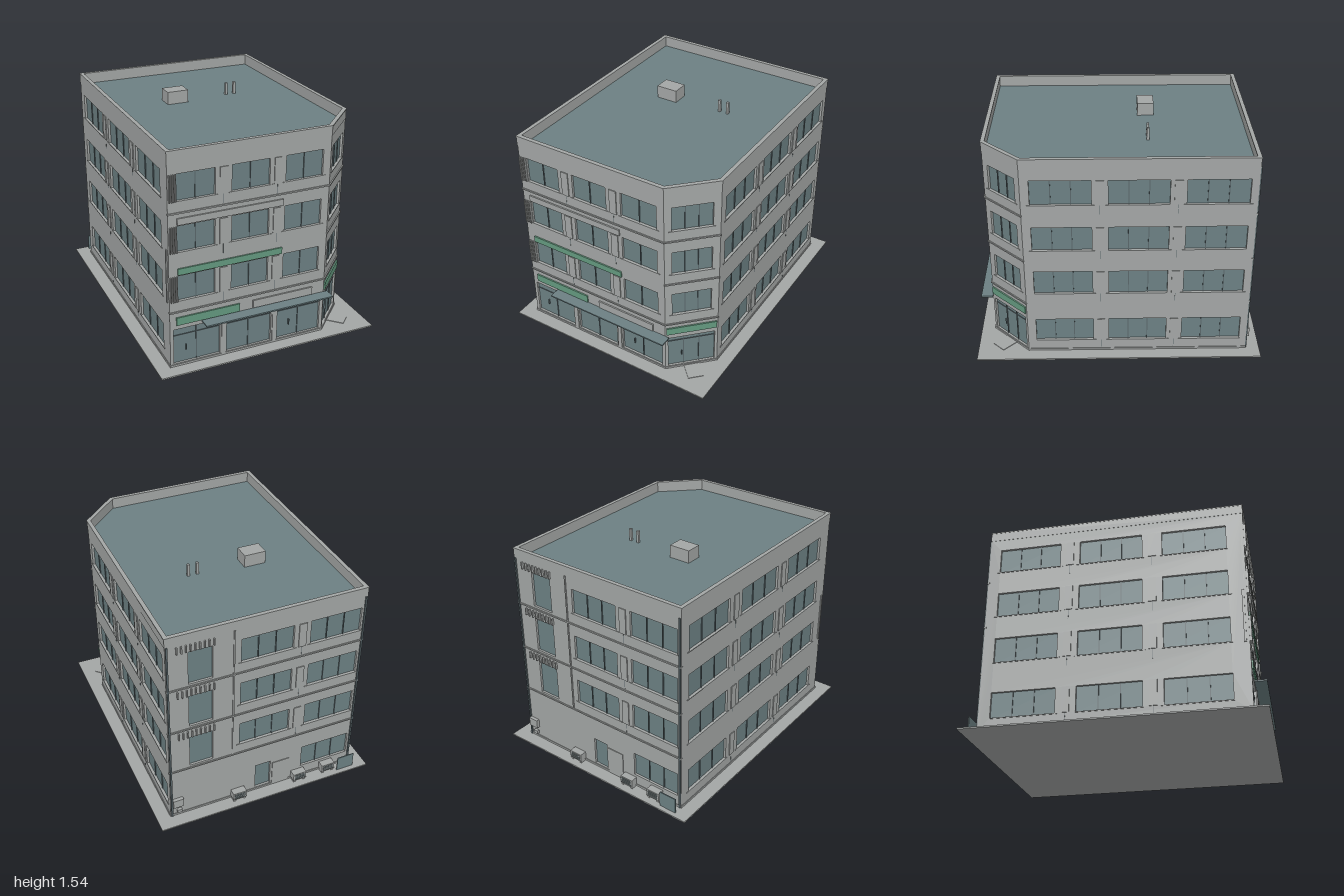
import * as THREE from 'three';

const mat = (name, color) => Object.assign(new THREE.MeshStandardMaterial({ color }), { name });

export function createModel() {
  const concrete = mat('concrete grey', 0xa3a6a5);
  const glass = mat('slate glass', 0x6c8083);
  const green = mat('sign green', 0x64997f);
  const dark = mat('frame grey', 0x59666a);
  const model = new THREE.Group();
  model.name = 'cornerBuilding';

  // Box given by its limits on each axis
  function box(parent, m, name, x0, x1, y0, y1, z0, z1) {
    const mesh = new THREE.Mesh(new THREE.BoxGeometry(x1 - x0, y1 - y0, z1 - z0), m);
    mesh.position.set((x0 + x1) / 2, (y0 + y1) / 2, (z0 + z1) / 2);
    mesh.name = name;
    parent.add(mesh);
    return mesh;
  }

  // Building outline with one cut corner, moved inward by d
  const outline = d => [
    [-0.7 + d, 0.9 - d], [0.44 - 0.414 * d, 0.9 - d], [0.7 - d, 0.64 - 0.414 * d],
    [0.7 - d, -0.9 + d], [-0.7 + d, -0.9 + d]
  ].map(([x, z]) => new THREE.Vector2(x, -z));

  // Horizontal slab or ring following the outline
  function slab(name, m, d, y0, y1, hole) {
    const shape = new THREE.Shape(outline(d));
    if (hole !== undefined) shape.holes.push(new THREE.Path(outline(hole)));
    const geo = new THREE.ExtrudeGeometry(shape, { depth: y1 - y0, bevelEnabled: false });
    geo.rotateX(-Math.PI / 2);
    const mesh = new THREE.Mesh(geo, m);
    mesh.position.y = y0;
    mesh.name = name;
    model.add(mesh);
  }

  // Wall from a to b: local x runs along it, local z points outward.
  // Each opening is [u0, u1, y0, y1, panes, transomHeight]
  function wall(name, a, b, openings) {
    const g = new THREE.Group();
    g.name = name;
    const dx = b[0] - a[0], dz = b[1] - a[1], len = Math.hypot(dx, dz);
    g.position.set(a[0], 0, a[1]);
    g.rotation.y = Math.atan2(-dz, dx);
    const shape = new THREE.Shape([[0, 0.01], [len, 0.01], [len, 1.47], [0, 1.47]]
      .map(p => new THREE.Vector2(...p)));
    for (const [u0, u1, y0, y1, panes, transom] of openings) {
      shape.holes.push(new THREE.Path([[u0, y0], [u0, y1], [u1, y1], [u1, y0]]
        .map(p => new THREE.Vector2(...p))));
      box(g, glass, 'windowGlass', u0 - 0.002, u1 + 0.002, y0 - 0.002, y1 + 0.002, -0.024, -0.016);
      for (let i = 1; i < panes; i++) {
        const u = u0 + (u1 - u0) * i / panes;
        box(g, dark, 'mullion', u - 0.003, u + 0.003, y0, y1, -0.016, -0.01);
      }
      if (transom) box(g, dark, 'transom', u0, u1, transom - 0.003, transom + 0.003, -0.016, -0.011);
    }
    const geo = new THREE.ExtrudeGeometry(shape, { depth: 0.02, bevelEnabled: false });
    geo.translate(0, 0, -0.02);
    const mesh = new THREE.Mesh(geo, concrete);
    mesh.name = name + 'Panel';
    g.add(mesh);
    model.add(g);
    return { g, len };
  }

  const floors = [0.5, 0.85, 1.2];
  const grid = (bays, levels, panes) =>
    levels.flatMap(y => bays.map(([u0, u1]) => [u0, u1, y, y + 0.18, panes]));

  // Thin sills under a row of bays and raised piers between the bays
  function trim(g, bays, levels) {
    for (const y of levels) {
      for (const [u0, u1] of bays)
        box(g, concrete, 'sill', u0 - 0.02, u1 + 0.02, y - 0.006, y, -0.01, 0.004);
      for (let i = 1; i < bays.length; i++) {
        const c = (bays[i - 1][1] + bays[i][0]) / 2;
        box(g, concrete, 'pier', c - 0.027, c + 0.027, y, y + 0.18, -0.01, 0.006);
        box(g, dark, 'wallJoint', c - 0.0015, c + 0.0015, y - 0.07, y, -0.005, 0.001);
      }
    }
  }
  const ledge = (w, y) => box(w.g, concrete, 'floorLedge', -0.003, w.len + 0.003, y - 0.005, y + 0.005, -0.01, 0.008);

  // Pavement, plinth, parapet and roof
  box(model, concrete, 'pavement', -0.8, 0.8, 0, 0.01, -1, 1);
  slab('plinth', concrete, -0.005, 0.01, 0.024);
  slab('roofDeck', glass, 0.018, 1.44, 1.455);
  slab('parapet', concrete, -0.002, 1.465, 1.527, 0.02);
  slab('parapetCoping', concrete, -0.004, 1.527, 1.535, 0.024);
  box(model, concrete, 'roofHatch', -0.28, -0.125, 1.455, 1.545, -0.26, -0.145);
  for (const x of [0.198, 0.262])
    box(model, concrete, 'roofVent', x - 0.009, x + 0.009, 1.455, 1.543, -0.212, -0.194);

  // Front wall with shopfronts
  const frontBays = [[0.06, 0.32], [0.435, 0.7], [0.815, 1.085]];
  const shops = [[0.025, 0.355], [0.405, 0.735], [0.785, 1.115]];
  const front = wall('frontWall', [-0.7, 0.9], [0.44, 0.9], [
    ...grid(frontBays, floors, 2),
    ...shops.map(([u0, u1]) => [u0, u1, 0.028, 0.29, 2, 0.235])
  ]);
  trim(front.g, frontBays, floors);
  ledge(front, 0.42);
  ledge(front, 1.12);
  for (const u of [0.38, 0.76])
    box(front.g, concrete, 'shopColumn', u - 0.014, u + 0.014, 0.024, 0.3, -0.01, 0.006);
  for (const u of [0.115, 0.88])
    box(front.g, dark, 'doorHandle', u - 0.003, u + 0.003, 0.115, 0.155, -0.016, -0.004);
  for (const y of floors)
    for (let i = 0; i < 4; i++)
      box(front.g, concrete, 'windowFin', 0.008 + i * 0.014, 0.014 + i * 0.014, y, y + 0.18, 0, 0.015);

  // Awning and sign boards on the front
  box(model, glass, 'awning', -0.475, 0.47, 0.307, 0.317, 0.9, 0.983);
  for (const [m, x0, x1, y0, y1] of [
    [green, -0.655, -0.205, 0.323, 0.38], [concrete, -0.105, 0.345, 0.323, 0.38],
    [green, -0.64, 0.1, 0.69, 0.735], [concrete, -0.64, 0.1, 1.04, 1.085]
  ]) box(model, m, 'signBoard', x0, x1, y0, y1, 0.9, 0.91);

  // Cut corner with the entrance doors
  const corner = wall('cornerWall', [0.44, 0.9], [0.7, 0.64], [
    ...grid([[0.05, 0.318]], floors, 3),
    [0.02, 0.348, 0.028, 0.29, 3, 0.25]
  ]);
  trim(corner.g, [[0.05, 0.318]], floors);
  [0.42, 0.77, 1.12].forEach(y => ledge(corner, y));
  box(corner.g, green, 'cornerSign', 0.008, 0.36, 0.33, 0.385, 0, 0.01);
  box(corner.g, dark, 'doorHandle', 0.115, 0.121, 0.11, 0.15, -0.016, -0.004);
  box(corner.g, concrete, 'entranceStep', 0.13, 0.24, 0.01, 0.014, 0, 0.13);

  // Right and left walls, three bays on four floors
  const allFloors = [0.1, ...floors];
  const rightBays = [[0.06, 0.46], [0.57, 0.97], [1.08, 1.49]];
  const right = wall('rightWall', [0.7, 0.64], [0.7, -0.9], grid(rightBays, allFloors, 3));
  trim(right.g, rightBays, allFloors);
  const leftBays = [[0.08, 0.52], [0.66, 1.1], [1.24, 1.68]];
  const left = wall('leftWall', [-0.7, -0.9], [-0.7, 0.9], grid(leftBays, allFloors, 3));
  trim(left.g, leftBays, allFloors);
  box(left.g, concrete, 'conduit', 1.765, 1.78, 0.49, 0.87, 0, 0.008);

  // Back wall with stair windows, slats and service door
  const backBays = [[0.51, 0.88], [1.0, 1.37]];
  const back = wall('backWall', [0.7, -0.9], [-0.7, -0.9], [
    ...grid(backBays, floors, 3),
    ...floors.map(y => [0.15, 0.315, y - 0.06, y + 0.19, 1]),
    [1.0, 1.37, 0.1, 0.28, 3],
    [0.64, 0.755, 0.028, 0.24, 1]
  ]);
  trim(back.g, backBays, floors);
  [0.42, 0.77, 1.12].forEach(y => ledge(back, y));
  box(back.g, concrete, 'stairPilaster', 0.455, 0.465, 0.42, 1.465, 0, 0.006);
  box(back.g, concrete, 'servicePanel', 0.77, 0.9, 0.024, 0.22, 0, 0.005);
  for (const y of floors)
    for (let i = 0; i < 9; i++)
      box(back.g, concrete, 'slat', 0.07 + i * 0.031, 0.078 + i * 0.031, y + 0.2, y + 0.25, 0, 0.015);
  for (const u of [0.01, 1.39])
    box(back.g, dark, 'downpipe', u - 0.006, u + 0.006, 0.01, 1.465, 0, 0.01);

  // Service equipment behind the building
  for (const x of [-0.5, -0.27, 0.2]) {
    box(model, concrete, 'coolingUnit', x - 0.05, x + 0.05, 0.03, 0.085, -0.957, -0.905);
    for (let i = 0; i < 4; i++)
      box(model, dark, 'coolingGrille', x - 0.04, x + 0.04, 0.039 + i * 0.011, 0.043 + i * 0.011, -0.959, -0.956);
    for (const s of [-0.038, 0.038])
      box(model, concrete, 'coolingFoot', x + s - 0.008, x + s + 0.008, 0.01, 0.03, -0.95, -0.91);
  }
  box(model, concrete, 'meterBox', 0.61, 0.685, 0.1, 0.165, -0.925, -0.9);
  box(model, concrete, 'lowerMeter', 0.62, 0.655, 0.04, 0.065, -0.92, -0.9);
  box(model, glass, 'yardScreen', -0.7, -0.57, 0.01, 0.125, -0.967, -0.96);

  return model;
}
